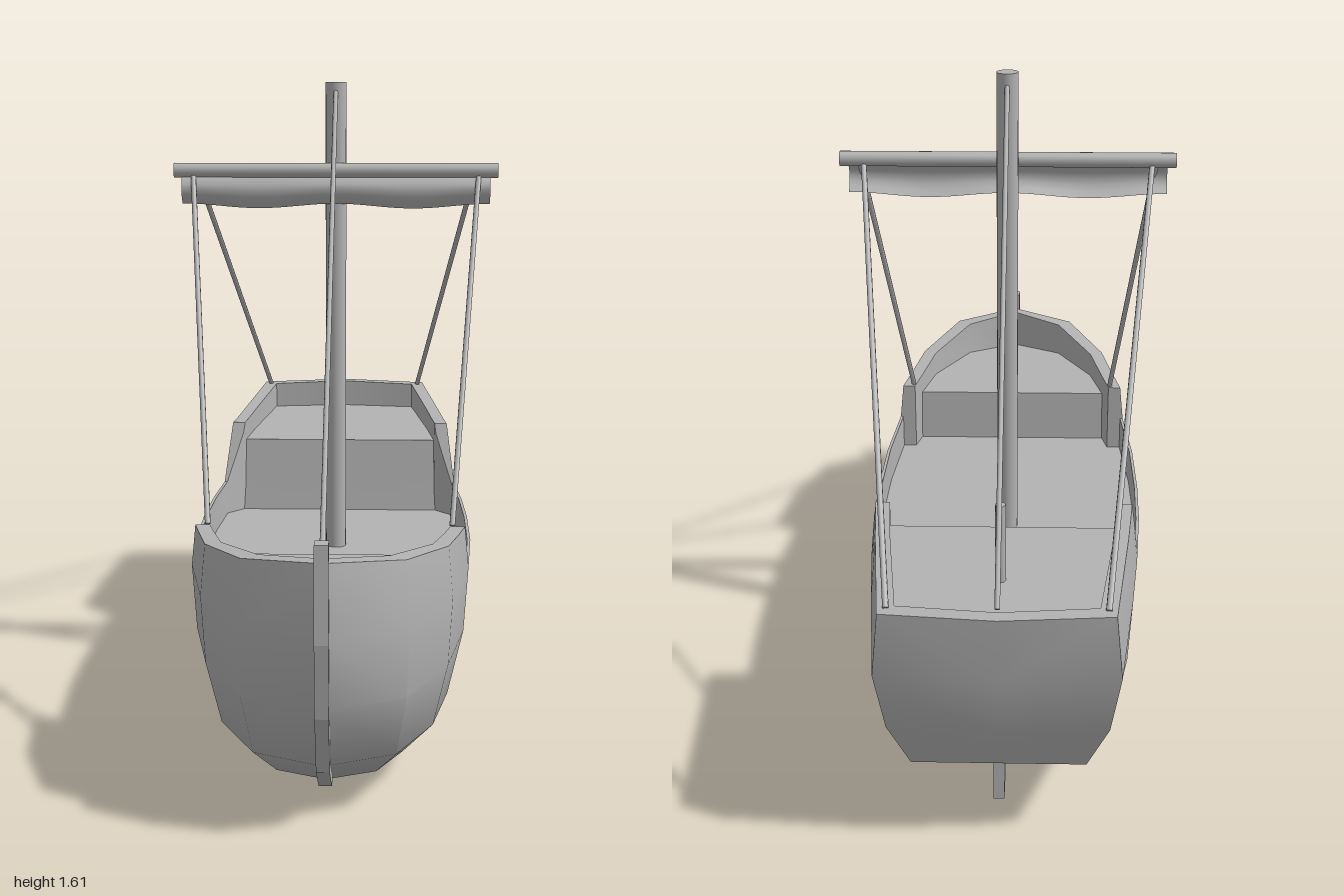
import * as THREE from 'three';
import { toCreasedNormals } from 'three/addons/utils/BufferGeometryUtils.js';

const wood = new THREE.MeshStandardMaterial({ color: 0xb3b3b3, side: THREE.DoubleSide });
wood.name = 'grey';

// Hull stations from stern to bow: z, half width, rail height, deck height, keel height
const stations = [
  [-1.0, 0, 0.65, 0.57, 0.2],
  [-0.97, 0.27, 0.645, 0.57, 0.2],
  [-0.6, 0.312, 0.628, 0.57, 0.16],
  [-0.5, 0.322, 0.625, 0.57, 0.03],
  [-0.44, 0.328, 0.625, 0.57, 0.022],
  [-0.42, 0.33, 0.625, 0.43, 0.02],
  [-0.41, 0.331, 0.597, 0.365, 0.019],
  [-0.36, 0.335, 0.46, 0.365, 0.012],
  [-0.18, 0.348, 0.46, 0.365, 0.003],
  [0, 0.353, 0.46, 0.365, 0],
  [0.22, 0.35, 0.46, 0.365, 0.003],
  [0.45, 0.333, 0.46, 0.365, 0.01],
  [0.45, 0.333, 0.56, 0.365, 0.01],
  [0.52, 0.319, 0.565, 0.365, 0.014],
  [0.53, 0.317, 0.565, 0.51, 0.014],
  [0.69, 0.285, 0.58, 0.51, 0.02],
  [0.895, 0.185, 0.607, 0.51, 0.036],
  [0.98, 0, 0.622, 0.51, 0.05],
];

// Half a cross-section: deck centre, deck edge, inner rail, outer rail, side, bilge, keel
function section([z, w, rail, deck, keel]) {
  const bow = (end) => (z > 0.45 ? 0.45 + ((z - 0.45) * (end - 0.45)) / 0.53 : z);
  const stern = z < -0.9;
  const aft = z < -0.55;
  const sternZ = (edge, middle) => (w > 0 ? edge : middle);
  let zs = [0.955, 0.98, 0.965, 0.88, 0.74, 0.74].map(bow);
  if (stern) zs = [sternZ(-0.97, -1), sternZ(-0.97, -0.99), sternZ(-0.93, -0.95), -0.88, -0.88, -0.88];
  // Sloping cut ahead of the rudder
  if (z === -0.5) zs = [z, z, z, -0.585, -0.512, z];
  let inZ = zs[0] > 0.45 ? 0.45 + (zs[0] - 0.45) * 0.93 : zs[0];
  if (stern) inZ = sternZ(-0.935, -0.965);
  const railX = w * (1 - 0.3 * (rail - 0.46));
  const inX = Math.max(0, railX - (rail > 0.46 ? 0.035 : 0.008));
  const clip = (y) => (aft ? Math.max(y, keel) : y);
  return [
    [0, deck, inZ], [inX, deck, inZ], [inX, rail, inZ], [railX, rail, zs[0]],
    [w, Math.min(stern ? 0.49 : 0.46, rail), zs[1]],
    [w * (stern ? 0.92 : 0.97), stern ? 0.33 : 0.3, zs[2]],
    [w * (stern ? 0.74 : 0.86), clip(0.14), zs[3]],
    [w * 0.62, clip(0.045), zs[4]],
    [0, keel, zs[5]],
  ].map((p) => new THREE.Vector3(...p));
}

function hullGeometry() {
  const rings = stations.map(section);
  const pos = [];
  const face = (a, b, c) => {
    const area = b.clone().sub(a).cross(c.clone().sub(a)).length();
    if (area < 1e-7) return;
    for (const p of [a, b, c]) pos.push(p.x, p.y, p.z);
    for (const p of [a, c, b]) pos.push(-p.x, p.y, p.z);
  };
  for (let i = 0; i < rings.length - 1; i++) {
    for (let j = 0; j < rings[i].length - 1; j++) {
      const a = rings[i][j], b = rings[i + 1][j], c = rings[i][j + 1], d = rings[i + 1][j + 1];
      face(a, b, c);
      face(b, d, c);
    }
  }
  const geo = new THREE.BufferGeometry();
  geo.setAttribute('position', new THREE.Float32BufferAttribute(pos, 3));
  return toCreasedNormals(geo, 0.72);
}

// Flat plank drawn in the z-y plane, centred on x = 0
function plank(points, width) {
  const shape = new THREE.Shape(points.map((p) => new THREE.Vector2(...p)));
  const geo = new THREE.ExtrudeGeometry(shape, { depth: width, bevelEnabled: false });
  return geo.translate(0, 0, -width / 2).rotateY(-Math.PI / 2);
}

// Round pole between two points
function pole(from, to, radius, sides) {
  const a = new THREE.Vector3(...from), b = new THREE.Vector3(...to);
  const dir = b.clone().sub(a);
  const geo = new THREE.CylinderGeometry(radius, radius, dir.length(), sides);
  geo.applyQuaternion(new THREE.Quaternion().setFromUnitVectors(new THREE.Vector3(0, 1, 0), dir.normalize()));
  const mid = a.add(b).multiplyScalar(0.5);
  return geo.translate(mid.x, mid.y, mid.z);
}

// Short curved sail with a wavy foot
function sailGeometry() {
  const geo = new THREE.PlaneGeometry(0.8, 1, 32, 6);
  const p = geo.attributes.position;
  for (let i = 0; i < p.count; i++) {
    const t = 0.5 - p.getY(i);
    const drop = 0.082 + 0.006 * Math.cos((p.getX(i) + 0.2) * Math.PI * 5);
    p.setY(i, 1.37 - drop * t);
    p.setZ(i, -0.02 + 0.022 * Math.sin(t * Math.PI) - 0.002 * t);
  }
  geo.computeVertexNormals();
  return geo;
}

export function createModel() {
  const ship = new THREE.Group();
  ship.name = 'sailingShip';
  const add = (name, geo) => {
    const mesh = new THREE.Mesh(geo, wood);
    mesh.name = name;
    ship.add(mesh);
  };

  add('hull', hullGeometry());
  add('stem', plank([
    [0.95, 0.67], [0.985, 0.67], [1.0, 0.46], [0.98, 0.29], [0.91, 0.14], [0.775, 0.045], [0.6, 0.022],
    [0.6, 0.04], [0.72, 0.07], [0.86, 0.16], [0.94, 0.3], [0.96, 0.46],
  ], 0.03));
  add('rudder', plank([[-0.52, 0.057], [-0.85, 0.078], [-0.85, 0.205], [-0.6, 0.17]], 0.025));
  add('tillerPost', pole([0, 0.56, -0.695], [0, 0.765, -0.695], 0.012, 12));

  // Mast, yard and sail
  add('mast', pole([0, 0.36, -0.048], [0, 1.605, -0.048], 0.027, 20));
  add('yard', pole([-0.42, 1.38, -0.02], [0.42, 1.38, -0.02], 0.019, 16));
  add('sail', sailGeometry());

  // Rigging
  add('forestay', pole([0, 1.58, -0.025], [0, 0.62, 0.945], 0.006, 8));
  add('backstay', pole([0, 1.58, -0.065], [0, 0.645, -0.945], 0.006, 8));
  for (const s of [-1, 1]) {
    add('foreBrace', pole([s * 0.37, 1.37, -0.015], [s * 0.292, 0.565, 0.46], 0.007, 8));
    add('aftBrace', pole([s * 0.36, 1.37, -0.025], [s * 0.238, 0.645, -0.945], 0.007, 8));
  }
  return ship;
}
